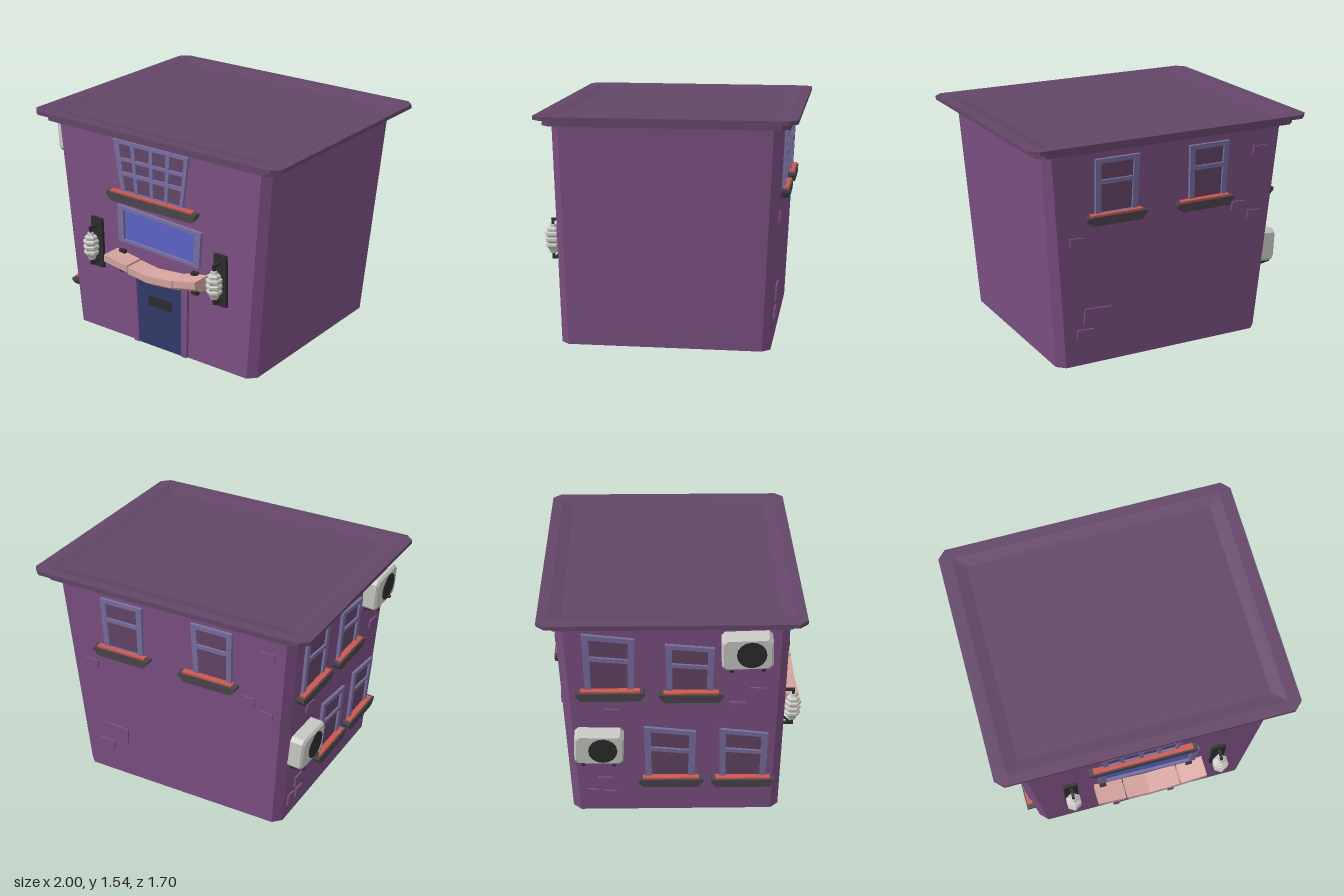
import * as THREE from 'three';

const mat = (name, color) => {
  const m = new THREE.MeshStandardMaterial({ color });
  m.name = name;
  return m;
};

export function createModel() {
  const wall = mat('purple wall', 0x7d5083), roofMat = mat('dark purple roof', 0x644668);
  const frameMat = mat('lavender frame', 0x7a6fa3), iron = mat('black iron', 0x2d2c2e);
  const boxMat = mat('grey planter', 0x4b464d), red = mat('red flowers', 0xc9594f);
  const pink = mat('pink awning', 0xd8a5a0), grey = mat('light grey', 0xc9c9c5);
  const navy = mat('navy door', 0x333b6b), blue = mat('blue glass', 0x5c65c8);
  const model = new THREE.Group();
  model.name = 'house';

  const add = (parent, name, geo, m, x = 0, y = 0, z = 0) => {
    const mesh = new THREE.Mesh(geo, m);
    mesh.name = name;
    mesh.position.set(x, y, z);
    parent.add(mesh);
    return mesh;
  };
  const box = (parent, name, m, w, h, d, x, y, z) => add(parent, name, new THREE.BoxGeometry(w, h, d), m, x, y, z);

  // Flat-faced solid through a list of matching rings, closed at both ends
  const loft = (rings) => {
    const v = [], n = rings[0].length;
    const tri = (a, b, c) => v.push(...a, ...b, ...c);
    for (let i = 0; i < rings.length - 1; i++)
      for (let k = 0; k < n; k++) {
        const a = rings[i][k], b = rings[i][(k + 1) % n], c = rings[i + 1][(k + 1) % n], d = rings[i + 1][k];
        tri(a, b, c);
        tri(a, c, d);
      }
    const last = rings[rings.length - 1];
    for (let k = 1; k < n - 1; k++) {
      tri(rings[0][0], rings[0][k + 1], rings[0][k]);
      tri(last[0], last[k], last[k + 1]);
    }
    const g = new THREE.BufferGeometry();
    g.setAttribute('position', new THREE.Float32BufferAttribute(v, 3));
    g.computeVertexNormals();
    return g;
  };
  // Rectangle with cut corners at height y
  const ring = (y, x, zb, zf, c) => [[x, zf - c], [x, zb + c], [x - c, zb], [c - x, zb],
    [-x, zb + c], [-x, zf - c], [c - x, zf], [x - c, zf]].map(([a, b]) => [a, y, b]);

  // Plate cut from an outline, with optional holes
  const plate = (pts, depth, holes = []) => {
    const toV = (p) => p.map(([x, y]) => new THREE.Vector2(x, y));
    const s = new THREE.Shape(toV(pts));
    holes.forEach((h) => s.holes.push(new THREE.Path(toV(h))));
    return new THREE.ExtrudeGeometry(s, { depth, bevelEnabled: false });
  };
  // Point inside a quad given as bottom left, bottom right, top right, top left
  const inQuad = (q, u, v) => [0, 1].map((i) =>
    (q[0][i] * (1 - u) + q[1][i] * u) * (1 - v) + (q[3][i] * (1 - u) + q[2][i] * u) * v);

  // Window: framed quad with a grid of panes
  const windowAt = (parent, name, q, cols, rows, glass, depth = 0.02) => {
    const g = new THREE.Group();
    g.name = name;
    const holes = [];
    for (const [u0, u1] of cols)
      for (const [v0, v1] of rows)
        holes.push([[u0, v0], [u0, v1], [u1, v1], [u1, v0]].map(([u, v]) => inQuad(q, u, v)));
    add(g, 'windowFrame', plate(q, depth + 0.01, holes), frameMat, 0, 0, -0.01);
    const inner = [[0.04, 0.03], [0.96, 0.03], [0.96, 0.97], [0.04, 0.97]].map(([u, v]) => inQuad(q, u, v));
    add(g, 'windowGlass', plate(inner, 0.006), glass);
    parent.add(g);
  };
  const sash = (parent, x0, x1, y0, y1, skew = 0) => windowAt(parent, 'sashWindow',
    [[x0 + 0.01, y0], [x1 - 0.01, y0 - skew / 2], [x1, y1 - skew], [x0, y1]],
    [[0.13, 0.87]], [[0.06, 0.56], [0.63, 0.92]], roofMat);

  // Planter with flowers under a window
  const planter = (parent, x0, x1, y, h = 0.06, d = 0.055) => {
    const g = new THREE.Group();
    g.name = 'windowBox';
    add(g, 'planter', plate([[x0 + 0.035, y - h], [x1 - 0.035, y - h], [x1, y - 0.02], [x1, y], [x0, y], [x0, y - 0.02]], d), boxMat);
    box(g, 'flowers', red, x1 - x0 - 0.06, 0.02, d - 0.016, (x0 + x1) / 2, y + 0.002, d / 2);
    parent.add(g);
  };
  const brick = (parent, x, y, w = 0.1, h = 0.06) => {
    box(parent, 'brick', wall, w, h, 0.024, x, y, 0).rotation.z = -0.06;
  };

  // Body
  add(model, 'walls', loft([ring(0, 0.76, -0.68, 0.7, 0.053), ring(1.475, 0.875, -0.747, 0.72, 0.05)]), wall);
  // Roof: lower moulding and upper slab with a shallow sunken top
  add(model, 'roofMoulding', loft([ring(1.468, 0.935, -0.8, 0.77, 0.05), ring(1.512, 0.935, -0.8, 0.77, 0.05)]), roofMat);
  add(model, 'roof', loft([ring(1.51, 1, -0.85, 0.815, 0.055), ring(1.535, 1, -0.85, 0.815, 0.055),
    ring(1.535, 0.915, -0.78, 0.745, 0.01), ring(1.518, 0.83, -0.7, 0.665, 0.01)]), roofMat);

  // Wall frames: local z points out of the leaning wall
  const face = (name, x, z, turn, lean) => {
    const g = new THREE.Group();
    g.name = name;
    g.position.set(x, 0, z);
    g.rotation.set(lean, turn, 0, 'YXZ');
    model.add(g);
    return g;
  };
  const front = face('frontWall', 0, 0.7, 0, 0.0136);
  const back = face('backWall', 0, -0.68, Math.PI, 0.0454);
  const side = face('rightWall', -0.76, 0, -Math.PI / 2, 0.0778);

  // Front: large window, planter and tilted transom
  windowAt(front, 'gridWindow', [[-0.29, 1.085], [0.22, 1.085], [0.275, 1.447], [-0.345, 1.447]],
    [[0.07, 0.23], [0.28, 0.48], [0.53, 0.71], [0.76, 0.95]], [[0.03, 0.33], [0.4, 0.61], [0.67, 0.93]], roofMat);
  planter(front, -0.395, 0.345, 1.08);
  windowAt(front, 'transom', [[-0.325, 0.728], [0.35, 0.7], [0.37, 0.953], [-0.325, 0.985]],
    [[0.07, 0.93]], [[0.08, 0.91]], blue, 0.026);

  // Door
  add(front, 'door', plate([[-0.18, 0], [0.185, 0], [0.2, 0.56], [-0.2, 0.56]], 0.008), navy);
  add(front, 'mailSlot', plate([[-0.085, 0.308], [0.1, 0.308], [0.107, 0.38], [-0.092, 0.38]], 0.015), iron);
  add(front, 'doorPost', plate([[-0.222, 0.003], [-0.18, 0.003], [-0.19, 0.56], [-0.247, 0.56]], 0.02), wall);
  add(front, 'doorPost', plate([[0.185, 0.003], [0.228, 0.003], [0.25, 0.56], [0.195, 0.56]], 0.02), wall);

  // Awning: three sagging panels of [x, top, bottom] sections
  const panels = [
    [[-0.36, 0.652, 0.555], [-0.165, 0.624, 0.525]],
    [[-0.155, 0.617, 0.522], [0, 0.597, 0.497], [0.215, 0.617, 0.522]],
    [[0.225, 0.624, 0.527], [0.405, 0.662, 0.565]],
  ];
  for (const p of panels)
    add(model, 'awning', loft(p.map(([x, t, b]) =>
      [[x, t, 0.7], [x, t, 0.85], [x, t - 0.05, 0.848], [x, b, 0.77], [x, b, 0.7]])), pink);
  for (const x of [-0.3, 0.31]) box(front, 'awningBracket', iron, 0.045, 0.16, 0.04, x, 0.583, 0.01);

  // Wall lanterns
  const profile = [[0, 0.555], [0.025, 0.56], [0.035, 0.585], [0.052, 0.605], [0.052, 0.62], [0.042, 0.628],
    [0.055, 0.643], [0.055, 0.66], [0.044, 0.668], [0.055, 0.682], [0.055, 0.698], [0.042, 0.706],
    [0.045, 0.725], [0.024, 0.738], [0.02, 0.755], [0, 0.757]].map(([r, y]) => new THREE.Vector2(r, y));
  const lampGeo = new THREE.LatheGeometry(profile, 6).toNonIndexed();
  lampGeo.computeVertexNormals();
  for (const x of [-0.522, 0.517]) {
    const g = new THREE.Group();
    g.name = 'lantern';
    g.position.x = x;
    box(g, 'lanternPlate', iron, 0.095, 0.36, 0.04, 0, 0.66, 0.002);
    add(g, 'lanternBody', lampGeo, grey, 0, 0, 0.083);
    box(g, 'upperArm', iron, 0.018, 0.016, 0.085, 0, 0.788, 0.05);
    box(g, 'upperHook', iron, 0.018, 0.05, 0.016, 0, 0.771, 0.083);
    box(g, 'lowerArm', iron, 0.018, 0.016, 0.085, 0, 0.527, 0.05);
    box(g, 'lowerHook', iron, 0.018, 0.04, 0.016, 0, 0.542, 0.083);
    box(g, 'armBrace', iron, 0.012, 0.012, 0.08, 0, 0.56, 0.04).rotation.x = 0.75;
    front.add(g);
  }

  // Back windows and bricks (local x runs opposite to the model's x)
  sash(back, -0.53, -0.215, 1.03, 1.41);
  planter(back, -0.59, -0.17, 1.04);
  sash(back, 0.15, 0.445, 1.02, 1.41);
  planter(back, 0.06, 0.48, 1.035);
  [[-0.645, 0.87], [0.69, 1.31], [0.545, 0.94], [0.67, 0.86], [-0.49, 0.34, 0.19, 0.11], [-0.575, 0.22, 0.12, 0.07]]
    .forEach((b) => brick(back, ...b));

  // Side windows and bricks (local x is the model's z)
  sash(side, -0.58, -0.25, 0.98, 1.42, 0.04);
  planter(side, -0.63, -0.19, 0.995);
  sash(side, -0.06, 0.25, 0.96, 1.34, 0.03);
  planter(side, -0.1, 0.31, 0.98);
  sash(side, -0.2, 0.14, 0.27, 0.7, 0.04);
  planter(side, -0.24, 0.19, 0.29);
  sash(side, 0.29, 0.61, 0.27, 0.68, 0.04);
  planter(side, 0.24, 0.66, 0.285);
  [[0.4, 0.86], [0.53, 0.97], [-0.41, 0.81], [-0.46, 0.24, 0.09, 0.08], [-0.55, 0.14, 0.08, 0.08], [-0.43, 0.13, 0.09, 0.07]]
    .forEach((b) => brick(side, ...b));

  // Air conditioners: cut-corner casing, round fan and two brackets
  for (const [x, y, tilt] of [[0.45, 1.315, 0.03], [-0.49, 0.575, -0.03]]) {
    const g = new THREE.Group();
    g.name = 'airConditioner';
    g.position.set(x, y, 0);
    g.rotation.z = tilt;
    const w = 0.16, h = 0.115, c = 0.025;
    const casing = (z, s) => [[w, c - h], [w, h - c], [w - c, h], [c - w, h], [-w, h - c], [-w, c - h], [c - w, -h], [w - c, -h]]
      .map(([a, b]) => [a - Math.sign(a) * s, b - Math.sign(b) * s, z]);
    add(g, 'casing', loft([casing(-0.01, 0), casing(0.085, 0), casing(0.1, 0.012)]), grey);
    add(g, 'fan', new THREE.CylinderGeometry(0.094, 0.094, 0.008, 16), iron, 0.025, 0, 0.101).rotation.x = Math.PI / 2;
    for (const s of [-0.1, 0.1]) {
      const b = add(g, 'bracket', plate([[0, -0.035], [0.1, -0.012], [0.1, 0], [0, 0]], 0.025), iron, s + 0.0125, -h, 0);
      b.rotation.y = -Math.PI / 2;
    }
    side.add(g);
  }
  return model;
}
